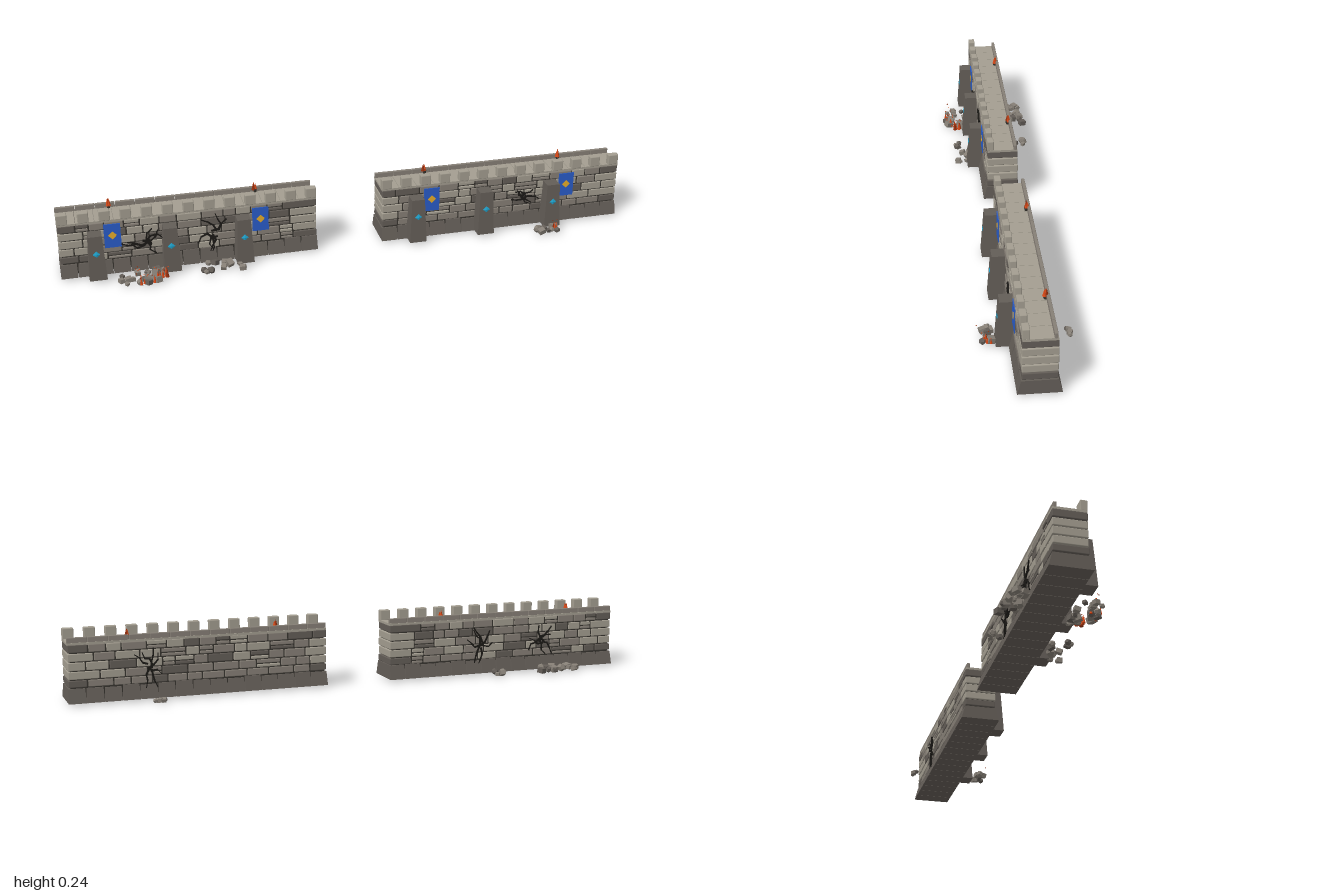
import * as THREE from 'three';
import { RoundedBoxGeometry } from 'three/addons/geometries/RoundedBoxGeometry.js';

const mat = (name, color) => new THREE.MeshStandardMaterial({ name, color });

export function createModel() {
  const root = new THREE.Group();
  root.name = 'castleWalls';
  const M = {
    light: mat('lightStone', 0xa39d90),
    mid: mat('midStone', 0x867f76),
    dark: mat('darkStone', 0x635d57),
    mortar: mat('mortar', 0x37342f),
    crack: mat('crackBlack', 0x1b1916),
    blue: mat('bannerBlue', 0x2a5cc8),
    gold: mat('gold', 0xf0b42c),
    cyan: mat('gemCyan', 0x22aad6),
    fire: mat('flameOrange', 0xdc4a18),
    ember: mat('emberRed', 0x96300f),
  };
  const tones = [M.light, M.mid, M.mid, M.dark];

  // Small seeded generator
  let seed = 23;
  const rnd = (a = 0, b = 1) => {
    seed = (seed + 0x6d2b79f5) | 0;
    let t = Math.imul(seed ^ (seed >>> 15), 1 | seed);
    t = (t + Math.imul(t ^ (t >>> 7), 61 | t)) ^ t;
    return a + (b - a) * ((t ^ (t >>> 14)) >>> 0) / 4294967296;
  };
  const pick = () => tones[Math.floor(rnd(0, tones.length))];

  const add = (parent, name, geo, material, x, y, z) => {
    const m = new THREE.Mesh(geo, material);
    m.name = name;
    m.position.set(x, y, z);
    parent.add(m);
    return m;
  };
  const group = (parent, name) => {
    const g = new THREE.Group();
    g.name = name;
    parent.add(g);
    return g;
  };
  const stone = (w, h, d, r = 0.003) => new RoundedBoxGeometry(w, h, d, 1, r);

  // Box whose upper corners are moved inward: both sides, front and back
  const tapered = (w, h, d, side, f, b) => {
    const geo = new THREE.BoxGeometry(w, h, d).toNonIndexed();
    const p = geo.attributes.position;
    for (let i = 0; i < p.count; i++) {
      if (p.getY(i) < 0) continue;
      p.setX(i, p.getX(i) + (p.getX(i) < 0 ? side : -side));
      p.setZ(i, p.getZ(i) + (p.getZ(i) > 0 ? -f : b));
    }
    geo.computeVertexNormals();
    return geo;
  };

  // Cluster of pointed flames
  const flames = (parent, x, y, z, count, sx, sz, h, slim) => {
    const g = group(parent, 'flames');
    for (let i = 0; i < count; i++) {
      const hh = h * rnd(0.7, 1);
      add(g, 'flame', new THREE.ConeGeometry(hh * slim, hh, 6), i % 4 === 3 ? M.ember : M.fire,
        x + rnd(-sx, sx), y + hh / 2, z + rnd(-sz, sz));
    }
  };

  // Forked crack drawn with thin dark strips on a wall face
  const crack = (x, y, z, rx, ry) => {
    const g = group(root, 'crack');
    for (let i = 0; i < 7; i++) {
      let a = i * Math.PI * 2 / 7 + rnd(-0.3, 0.3);
      let px = x + rnd(-0.2, 0.2) * rx, py = y + rnd(-0.2, 0.2) * ry;
      for (let k = 0; k < 3; k++) {
        const nx = px + Math.cos(a) * rx / 3, ny = py + Math.sin(a) * ry / 3;
        const len = Math.hypot(nx - px, ny - py);
        const strip = add(g, 'crackBranch', new THREE.BoxGeometry(len + 0.003, 0.006 - k * 0.0015, 0.006),
          M.crack, (px + nx) / 2, (py + ny) / 2, z);
        strip.rotation.z = Math.atan2(ny - py, nx - px);
        px = nx; py = ny;
        a += rnd(-1.1, 1.1);
      }
    }
  };

  // Fallen stones lying near the wall
  const rubble = (x0, x1, z0, z1, count) => {
    const g = group(root, 'rubble');
    for (let i = 0; i < count; i++) {
      const s = rnd(0.012, 0.025);
      const geo = i % 3 ? new THREE.BoxGeometry(s * 1.15, s * 0.85, s) : new THREE.DodecahedronGeometry(s * 0.6);
      add(g, 'fallenStone', geo, i % 4 ? M.mid : M.dark, rnd(x0, x1), 0.005 + s * 0.55, rnd(z0, z1))
        .rotation.set(rnd(-0.3, 0.3), rnd(0, 3), rnd(-0.3, 0.3));
    }
  };

  const levels = [0.057, 0.083, 0.112, 0.142, 0.171, 0.2];
  const half = 0.4425, mz = -0.02;

  const wall = (cx) => {
    const w = group(root, 'wallSection');
    w.position.x = cx;
    add(w, 'mortarCore', new THREE.BoxGeometry(0.864, 0.18, 0.102), M.mortar, 0, 0.105, mz);

    // Sloped footing stones
    const n = 15, fw = 2 * half / n;
    for (let i = 0; i < n; i++) {
      const h = rnd(0.045, 0.05);
      add(w, 'footingStone', tapered(fw - 0.002, h, 0.136, 0.0015, 0.012, 0.012),
        M.dark, -half + (i + 0.5) * fw, 0.008 + h / 2, mz);
    }

    // Irregular stone courses running through the wall
    const courses = group(w, 'stoneCourses');
    const end = 0.4415;
    for (let c = 0; c < 5; c++) {
      const y0 = levels[c], h = levels[c + 1] - y0;
      let x = -end;
      while (x < end - 0.001) {
        let bw = rnd(0.042, 0.09);
        if (end - x - bw < 0.04) bw = end - x;
        const atEnd = x < -end + 0.001 || x + bw > end - 0.001;
        const parts = !atEnd && rnd() < 0.2 ? [0.45, 0.55] : [1];
        let y = y0;
        for (const f of parts) {
          add(courses, 'wallStone', stone(bw - 0.004, h * f - 0.003, rnd(0.107, 0.112)),
            atEnd ? (c % 4 ? M.light : M.dark) : pick(), x + bw / 2, y + h * f / 2, mz);
          y += h * f;
        }
        x += bw;
      }
    }

    // Walkway slabs
    const sw = 0.882 / 14;
    for (let i = 0; i < 14; i++) {
      add(w, 'walkwaySlab', new THREE.BoxGeometry(sw - 0.0015, 0.008, 0.106), M.light,
        -0.441 + (i + 0.5) * sw, 0.201, mz);
    }
    // Front merlons and low rear parapet
    for (let i = 0; i < 13; i++) {
      add(w, 'merlon', stone(0.037, 0.037, 0.023), M.light, -0.422 + i * 0.844 / 12, 0.2215, 0.0225);
      add(w, 'parapetStone', stone(0.0665, 0.02, 0.011, 0.002), M.mid,
        -0.441 + (i + 0.5) * 0.882 / 13, 0.212, -0.0655);
    }

    // Buttresses with set gems
    for (const x of [-0.32, -0.07, 0.18]) {
      add(w, 'buttress', tapered(0.06, 0.16, 0.06, 0.007, 0.011, 0), M.dark, x, 0.09, 0.058);
      const gem = add(w, 'buttressGem', new THREE.OctahedronGeometry(0.013), M.cyan, x, 0.105, 0.0815);
      gem.scale.z = 0.2;
    }

    // Hanging banners and the torches behind them
    for (const x of [-0.26, 0.243]) {
      add(w, 'banner', new THREE.BoxGeometry(0.056, 0.088, 0.003), M.blue, x, 0.147, 0.0372);
      add(w, 'bannerEmblem', new THREE.BoxGeometry(0.021, 0.021, 0.002), M.gold, x, 0.149, 0.0388).rotation.z = Math.PI / 4;
      add(w, 'torchHolder', new THREE.CylinderGeometry(0.007, 0.005, 0.014, 6), M.mortar, x, 0.209, -0.057);
      flames(w, x, 0.214, -0.058, 5, 0.006, 0.004, 0.028, 0.27);
    }
  };
  wall(-0.5575);
  wall(0.5575);

  // Cracks on both faces
  for (const [x, y, rx, ry] of [[-0.71, 0.108, 0.075, 0.07], [-0.47, 0.11, 0.07, 0.068]]) {
    crack(x, y, 0.036, rx, ry);
    crack(x, y, -0.076, rx * 0.75, ry);
  }
  crack(0.64, 0.115, 0.036, 0.055, 0.032);
  crack(0.73, 0.11, -0.076, 0.05, 0.066);

  // Rubble in front and behind
  rubble(-0.81, -0.65, 0.07, 0.153, 20);
  rubble(-0.53, -0.39, 0.06, 0.125, 13);
  rubble(-0.82, -0.66, -0.153, -0.1, 15);
  rubble(-0.53, -0.5, -0.15, -0.1, 4);
  rubble(0.67, 0.75, 0.07, 0.153, 9);
  rubble(0.69, 0.76, -0.155, -0.13, 4);

  // Ground fires and floating embers
  flames(root, -0.72, 0.01, 0.135, 6, 0.025, 0.017, 0.03, 0.2);
  flames(root, -0.67, 0.01, 0.115, 9, 0.02, 0.022, 0.036, 0.2);
  flames(root, 0.738, 0.01, 0.112, 6, 0.01, 0.012, 0.032, 0.2);
  for (let i = 0; i < 14; i++) {
    add(root, 'ember', new THREE.OctahedronGeometry(0.0025), i % 2 ? M.ember : M.fire,
      i < 11 ? rnd(-0.76, -0.64) : rnd(0.72, 0.76), rnd(0.035, 0.075), rnd(0.09, 0.155));
  }
  return root;
}
